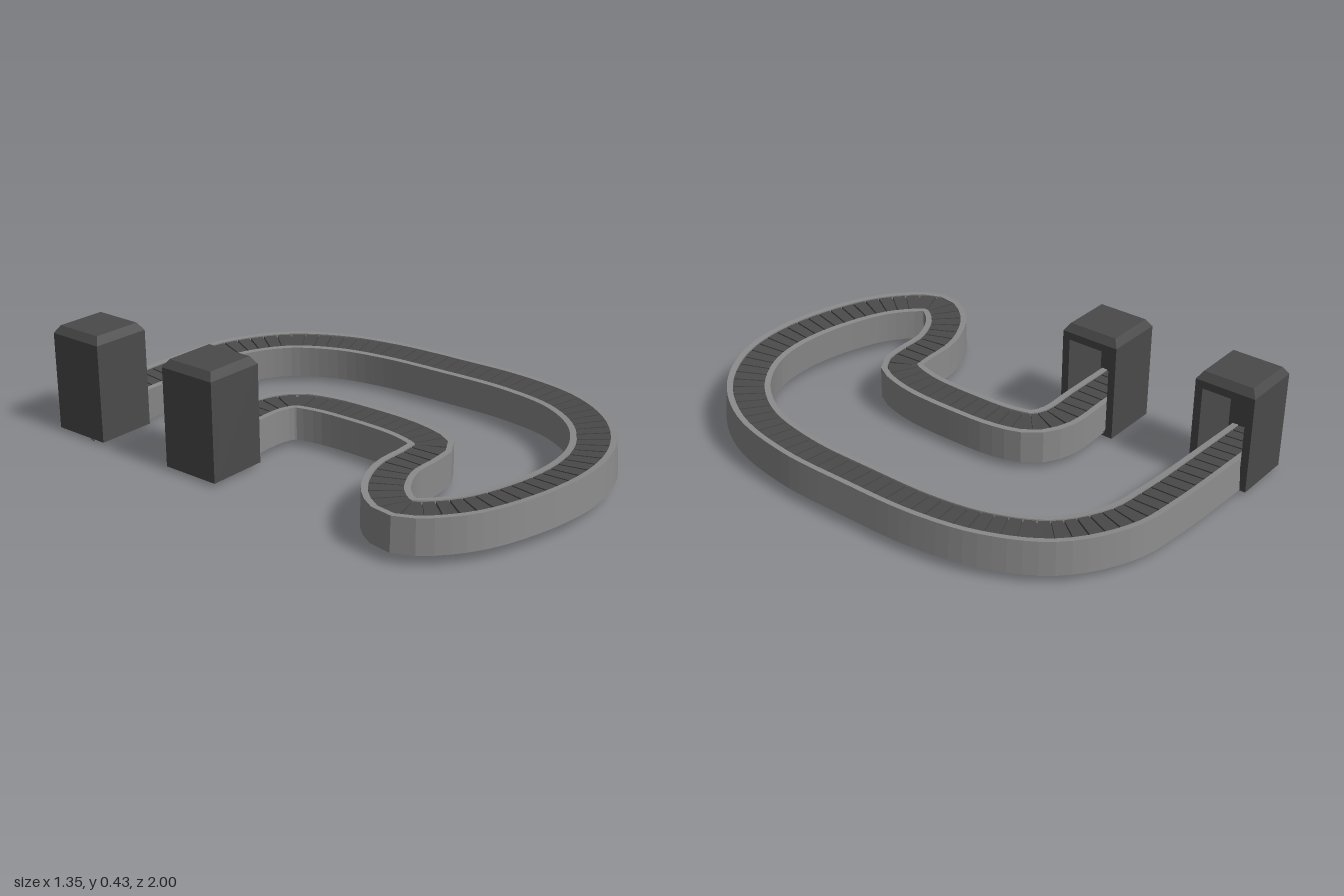
import * as THREE from 'three';
import { mergeGeometries } from 'three/addons/utils/BufferGeometryUtils.js';

const railMat = new THREE.MeshStandardMaterial({ color: 0x8a8a8a, flatShading: true });
const darkMat = new THREE.MeshStandardMaterial({ color: 0x4a4a4a, flatShading: true });

// Centre line of the conveyor: x, height of the rail top, z
const path = new THREE.CatmullRomCurve3([
  [-0.6, 0.137, -0.89], [-0.37, 0.14, -0.884], [0, 0.148, -0.872], [0.2, 0.152, -0.845],
  [0.4, 0.154, -0.725], [0.515, 0.156, -0.53], [0.566, 0.157, -0.3], [0.578, 0.16, 0],
  [0.573, 0.163, 0.3], [0.515, 0.166, 0.56], [0.385, 0.168, 0.75], [0.2, 0.17, 0.867],
  [0, 0.17, 0.903], [-0.25, 0.17, 0.869], [-0.465, 0.169, 0.78], [-0.587, 0.168, 0.64],
  [-0.525, 0.166, 0.525], [-0.36, 0.164, 0.435], [-0.2, 0.162, 0.424], [-0.11, 0.161, 0.405],
  [-0.055, 0.16, 0.27], [-0.043, 0.159, 0], [-0.055, 0.158, -0.15], [-0.09, 0.158, -0.25],
  [-0.18, 0.157, -0.298], [-0.37, 0.157, -0.3], [-0.6, 0.157, -0.3],
].map((p) => new THREE.Vector3(...p)), false, 'centripetal');
path.arcLengthDivisions = 800;

// Point beside (a) and above (v) the centre line; the outer loop is slightly banked
function trackPoint(u, a, v) {
  const t = path.getTangentAt(u);
  const side = new THREE.Vector3(-t.z, 0, t.x).normalize();
  const roll = 0.08 * (1 - THREE.MathUtils.smoothstep(u, 0.55, 0.8));
  const p = path.getPointAt(u);
  p.addScaledVector(side, a * Math.cos(roll) + v * Math.sin(roll));
  p.y += v * Math.cos(roll) - a * Math.sin(roll);
  return p;
}

// Sweep a rectangular section along a stretch of the track
function sweep(a0, a1, v0, v1, u0, u1, segments) {
  const section = [[a0, v0], [a1, v0], [a1, v1], [a0, v1]];
  const rings = [];
  for (let i = 0; i <= segments; i++) {
    const u = u0 + (u1 - u0) * i / segments;
    rings.push(section.map(([a, v]) => trackPoint(u, a, v)));
  }
  const pts = [];
  const quad = (a, b, c, d) => pts.push(a, b, c, a, c, d);
  for (let i = 0; i < segments; i++) {
    for (let k = 0; k < 4; k++) {
      const n = (k + 1) % 4;
      quad(rings[i][k], rings[i + 1][k], rings[i + 1][n], rings[i][n]);
    }
  }
  const end = rings[segments];
  quad(...rings[0]);
  quad(end[3], end[2], end[1], end[0]);
  const geo = new THREE.BufferGeometry().setFromPoints(pts);
  geo.computeVertexNormals();
  return geo;
}

function addMesh(parent, name, geo, mat) {
  const mesh = new THREE.Mesh(geo, mat);
  mesh.name = name;
  parent.add(mesh);
  return mesh;
}

// Hollow end housing, open towards +x
function makeHousing(name, z) {
  const housing = new THREE.Group();
  housing.name = name;
  const bottom = 0.015, shoulder = 0.4, half = 0.12;
  const rect = (Type, w, y0, y1) => {
    const r = new Type();
    r.moveTo(-w, y0);
    r.lineTo(w, y0);
    r.lineTo(w, y1);
    r.lineTo(-w, y1);
    r.closePath();
    return r;
  };
  const frame = rect(THREE.Shape, half, bottom, shoulder);
  frame.holes.push(rect(THREE.Path, 0.09, bottom + 0.02, 0.37));
  const shell = addMesh(housing, 'housingShell',
    new THREE.ExtrudeGeometry(frame, { depth: 0.22, bevelEnabled: false }), darkMat);
  shell.rotation.y = Math.PI / 2;
  shell.position.x = -0.1;

  const back = addMesh(housing, 'housingBack',
    new THREE.BoxGeometry(0.02, shoulder - bottom, 2 * half), darkMat);
  back.position.set(-0.11, (shoulder + bottom) / 2, 0);

  // Chamfered cap
  const capGeo = new THREE.CylinderGeometry(0.1 * Math.SQRT2, half * Math.SQRT2, 0.03, 4);
  capGeo.rotateY(Math.PI / 4);
  addMesh(housing, 'housingCap', capGeo, darkMat).position.y = shoulder + 0.015;

  housing.position.set(-0.49, 0, z);
  return housing;
}

export function createModel() {
  const model = new THREE.Group();
  model.name = 'conveyor';

  // Side rails
  addMesh(model, 'innerRail', sweep(0.06, 0.083, -0.13, 0, 0, 1, 120), railMat);
  addMesh(model, 'outerRail', sweep(-0.083, -0.06, -0.13, 0, 0, 1, 120), railMat);

  // Belt bed with separate slats on top
  addMesh(model, 'beltBed', sweep(-0.06, 0.06, -0.06, -0.014, 0, 1, 120), darkMat);
  const slats = [];
  const count = 104;
  for (let i = 0; i < count; i++) {
    slats.push(sweep(-0.059, 0.059, -0.016, -0.004, (i + 0.06) / count, (i + 0.94) / count, 1));
  }
  addMesh(model, 'beltSlats', mergeGeometries(slats), darkMat);

  // End housings
  model.add(makeHousing('rearHousing', -0.88));
  model.add(makeHousing('innerHousing', -0.3));
  return model;
}
